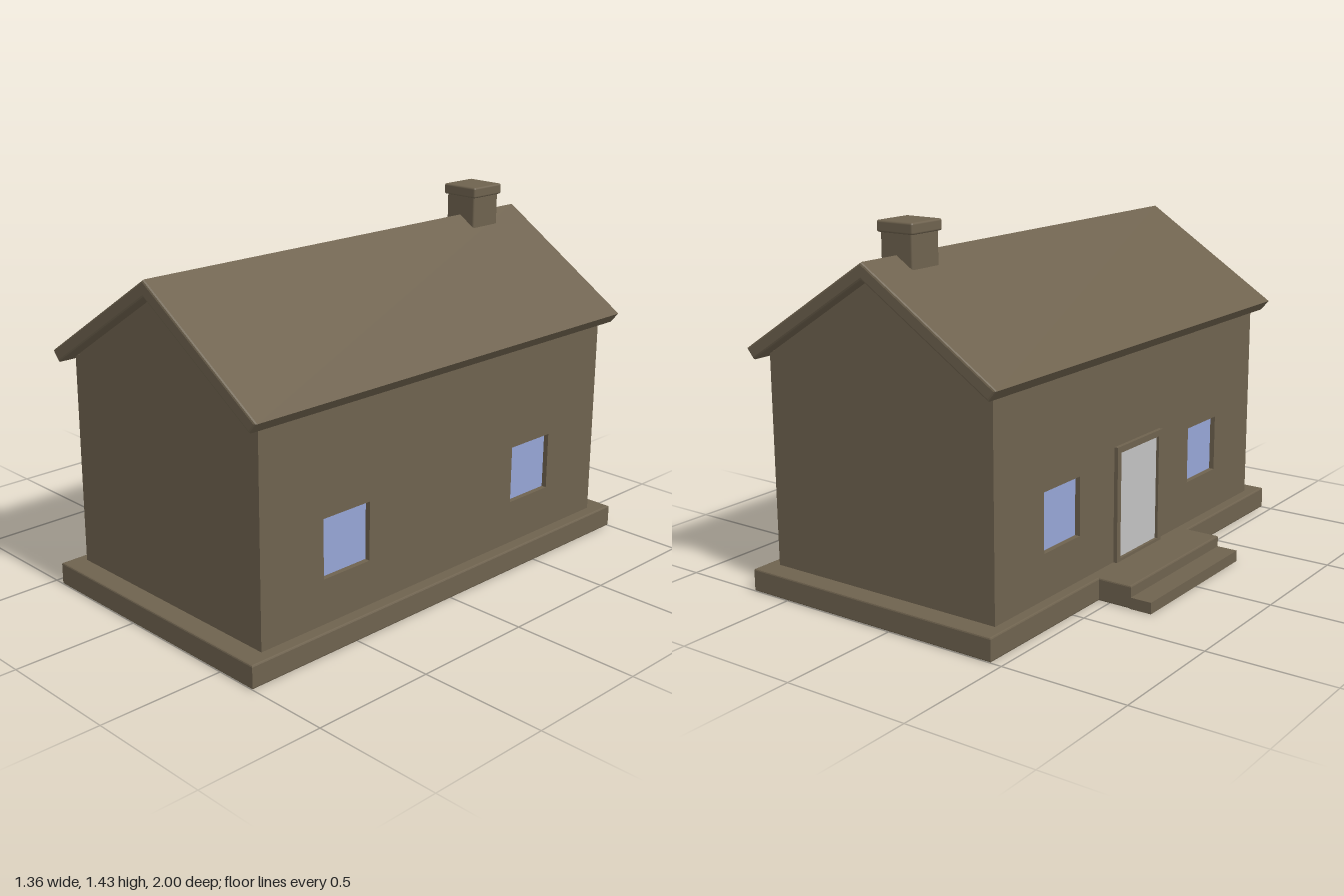
import * as THREE from 'three';
import { RoundedBoxGeometry } from 'three/addons/geometries/RoundedBoxGeometry.js';

const RIDGE_X = 0.105;      // centre line of the house
const WALL_HALF_X = 0.515;
const WALL_HALF_Z = 0.915;
const RECESS = 0.025;       // depth of window openings
const BASE_TOP = 0.09;
const SLOPE = 0.645;

const shapeFrom = (pts) => new THREE.Shape(pts.map(([x, y]) => new THREE.Vector2(x, y)));
const rectPath = (x0, y0, x1, y1) =>
  new THREE.Path([[x0, y0], [x0, y1], [x1, y1], [x1, y0]].map(([x, y]) => new THREE.Vector2(x, y)));

// Extrusion whose bevel stays inside the outline and the given depth
function extrude(shape, depth, bevel = 0) {
  const g = new THREE.ExtrudeGeometry(shape, {
    depth: depth - 2 * bevel, bevelEnabled: bevel > 0,
    bevelSize: bevel, bevelThickness: bevel, bevelOffset: -bevel, bevelSegments: 2,
  });
  return g.translate(0, 0, bevel);
}

export function createModel() {
  const house = new THREE.Group();
  house.name = 'house';

  const brown = new THREE.MeshStandardMaterial({ color: 0x6e624e });
  const blue = new THREE.MeshStandardMaterial({ color: 0x96a5d5 });
  const grey = new THREE.MeshStandardMaterial({ color: 0xc2c2c2 });
  brown.name = 'brown';
  blue.name = 'glassBlue';
  grey.name = 'doorGrey';

  const add = (name, geometry, material = brown) => {
    const mesh = new THREE.Mesh(geometry, material);
    mesh.name = name;
    house.add(mesh);
    return mesh;
  };
  const box = (name, x0, x1, y0, y1, z0, z1, material) =>
    add(name, new THREE.BoxGeometry(x1 - x0, y1 - y0, z1 - z0), material)
      .position.set((x0 + x1) / 2, (y0 + y1) / 2, (z0 + z1) / 2);

  // Foundation slab with the door landing
  const slab = shapeFrom([
    [0.67, -1], [0.67, 1], [-0.455, 1], [-0.455, 0.332],
    [-0.595, 0.332], [-0.595, -0.332], [-0.455, -0.332], [-0.455, -1],
  ]);
  add('foundation', extrude(slab, BASE_TOP, 0.006).rotateX(-Math.PI / 2));
  box('step', -0.682, -0.59, 0, 0.045, -0.332, 0.332);

  // Gabled core of the house
  const half = WALL_HALF_X - RECESS;
  const apex = 1.27;
  const shoulder = apex - SLOPE * half;
  const gable = shapeFrom([
    [RIDGE_X - half, BASE_TOP], [RIDGE_X + half, BASE_TOP],
    [RIDGE_X + half, shoulder], [RIDGE_X, apex], [RIDGE_X - half, shoulder],
  ]);
  add('gableWalls', extrude(gable, 2 * WALL_HALF_Z).translate(0, 0, -WALL_HALF_Z));

  // Long walls with window openings, glass set back inside
  for (const side of [-1, 1]) {
    const label = side > 0 ? 'left' : 'right';
    const wall = shapeFrom([
      [-WALL_HALF_Z, BASE_TOP], [WALL_HALF_Z, BASE_TOP],
      [WALL_HALF_Z, 0.93], [-WALL_HALF_Z, 0.93],
    ]);
    wall.holes.push(rectPath(-0.622, 0.265, -0.395, 0.495), rectPath(0.395, 0.265, 0.622, 0.495));
    const inner = RIDGE_X + side * half;
    add(label + 'Wall', extrude(wall, RECESS).rotateY(Math.PI / 2)
      .translate(side > 0 ? inner : inner - RECESS, 0, 0));
    for (const end of [-1, 1]) {
      const glass = add(label + (end > 0 ? 'FrontWindow' : 'BackWindow'),
        new THREE.BoxGeometry(0.004, 0.23, 0.227), blue);
      glass.position.set(inner + side * 0.002, 0.38, end * 0.5085);
    }
  }

  // Door and its raised frame
  const frame = shapeFrom([[-0.163, BASE_TOP], [0.163, BASE_TOP], [0.163, 0.55], [-0.163, 0.55]]);
  frame.holes.push(rectPath(-0.138, BASE_TOP + 0.012, 0.138, 0.525));
  add('doorFrame', extrude(frame, 0.016).rotateY(Math.PI / 2).translate(-0.426, 0, 0));
  box('door', -0.414, -0.409, BASE_TOP + 0.012, 0.525, -0.138, 0.138, grey);

  // Pitched roof
  const top = 1.312, under = 1.25, outer = 0.574, lower = 0.54;
  const roof = shapeFrom([
    [RIDGE_X, top], [RIDGE_X - outer, top - SLOPE * outer], [RIDGE_X - lower, under - SLOPE * lower],
    [RIDGE_X, under], [RIDGE_X + lower, under - SLOPE * lower], [RIDGE_X + outer, top - SLOPE * outer],
  ]);
  add('roof', extrude(roof, 1.95, 0.008).translate(0, 0, -0.975));

  // Chimney stack and cap
  add('chimney', new RoundedBoxGeometry(0.145, 0.24, 0.147, 2, 0.008)).position.set(RIDGE_X, 1.28, -0.713);
  add('chimneyCap', new RoundedBoxGeometry(0.165, 0.043, 0.166, 2, 0.008)).position.set(RIDGE_X, 1.41, -0.713);

  return house;
}
